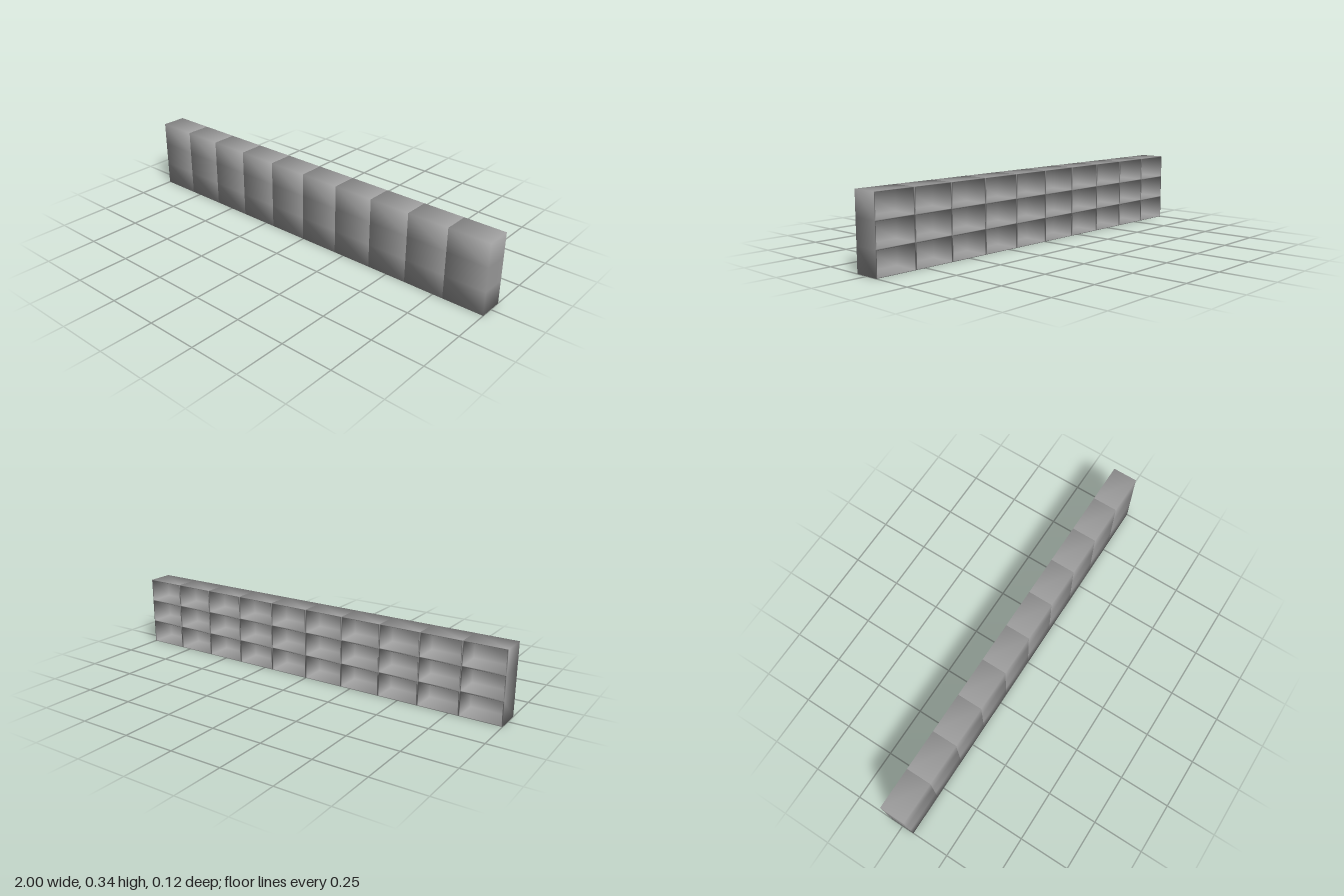
import * as THREE from 'three';
import { mergeGeometries, mergeVertices } from 'three/addons/utils/BufferGeometryUtils.js';

const COLUMNS = 10, ROWS = 3;
const W = 2 / COLUMNS, H = 0.345, D = 0.124;
const ROW = H / ROWS, WALL = 0.005, SHELF = 0.003, PANEL = 0.008;

// Box without its back (-z) face, with its triangles turned over
function openBox(w, h, d, rows) {
  const geo = new THREE.BoxGeometry(w, h, d, 1, rows, 1);
  const index = Array.from(geo.index.array).slice(0, geo.groups[5].start);
  geo.setIndex(index.reverse());
  geo.clearGroups();
  return geo;
}

function rectangle(Kind, w, h) {
  return new Kind([[-1, -1], [1, -1], [1, 1], [-1, 1]]
    .map(([sx, sy]) => new THREE.Vector2(sx * w / 2, sy * h / 2)));
}

// One column: outer shell, three recessed compartments and the rims joining them
function columnGeometry() {
  const cellW = W - 2 * WALL, cellH = ROW - 2 * SHELF, cellD = D - PANEL;
  const rim = rectangle(THREE.Shape, W, ROW);
  rim.holes.push(rectangle(THREE.Path, cellW, cellH));

  // Mirroring turns the shell's faces outwards; the compartments stay facing in
  const parts = [openBox(W, H, D, ROWS).scale(-1, 1, 1)];
  for (let r = 0; r < ROWS; r++) {
    const y = (r - (ROWS - 1) / 2) * ROW;
    parts.push(openBox(cellW, cellH, cellD, 1).translate(0, y, -PANEL / 2));
    parts.push(new THREE.ShapeGeometry(rim).rotateY(Math.PI).translate(0, y, -D / 2));
  }

  // Shared corners give the soft shading
  for (const p of parts) {
    p.deleteAttribute('normal');
    p.deleteAttribute('uv');
  }
  const geo = mergeVertices(mergeGeometries(parts));
  geo.computeVertexNormals();
  return geo;
}

export function createModel() {
  const group = new THREE.Group();
  group.name = 'shelfWall';
  const material = new THREE.MeshStandardMaterial({ color: 0x9c9c9c });
  const geometry = columnGeometry();
  for (let c = 0; c < COLUMNS; c++) {
    const column = new THREE.Mesh(geometry, material);
    column.name = `shelfColumn${c + 1}`;
    column.position.set((c - (COLUMNS - 1) / 2) * W, H / 2, 0);
    group.add(column);
  }
  return group;
}
